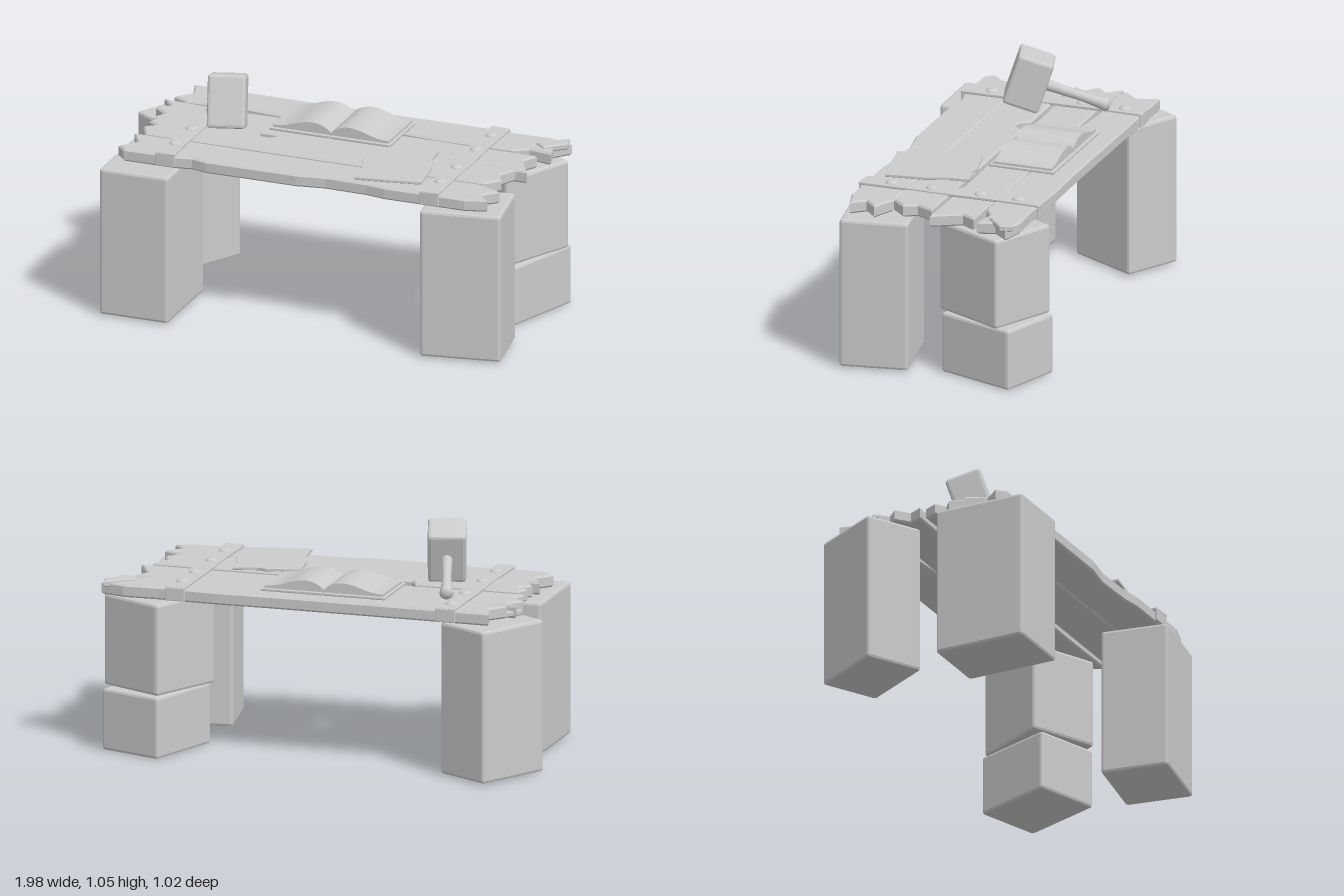
import * as THREE from 'three';
import { RoundedBoxGeometry } from 'three/addons/geometries/RoundedBoxGeometry.js';

const flat = new THREE.MeshStandardMaterial({ color: 0xcccccc, flatShading: true });
const smooth = new THREE.MeshStandardMaterial({ color: 0xcccccc });

function add(parent, name, geometry, material = flat) {
  const mesh = new THREE.Mesh(geometry, material);
  mesh.name = name;
  parent.add(mesh);
  return mesh;
}

// Box with chamfered edges
function block(parent, name, size, position, turn = 0, chamfer = 0.013) {
  const mesh = add(parent, name, new RoundedBoxGeometry(...size, 1, chamfer));
  mesh.position.set(...position);
  mesh.rotation.y = turn;
  return mesh;
}

// Flat slab cut from an outline of [x, z] points, with its top at y
function slab(parent, name, outline, top, thickness, bevel) {
  const shape = new THREE.Shape(outline.map(([x, z]) => new THREE.Vector2(x, z)));
  const geometry = new THREE.ExtrudeGeometry(shape, {
    depth: thickness - 2 * bevel, bevelEnabled: bevel > 0, bevelSize: bevel,
    bevelThickness: bevel, bevelOffset: -bevel, bevelSegments: 1,
  });
  geometry.rotateX(Math.PI / 2);
  const mesh = add(parent, name, geometry);
  mesh.position.y = top - bevel;
  return mesh;
}

// Stone blocks under the four corners
function buildLegs(parent) {
  block(parent, 'frontRightLeg', [0.325, 0.69, 0.43], [-0.73, 0.353, 0.295]);
  block(parent, 'backRightLeg', [0.28, 0.69, 0.365], [-0.788, 0.353, -0.291], -0.51);
  block(parent, 'frontLeftLeg', [0.365, 0.69, 0.31], [0.765, 0.353, 0.27], 0.165);
  block(parent, 'backLeftLowerBlock', [0.31, 0.28, 0.388], [0.775, 0.143, -0.28], -0.34);
  block(parent, 'backLeftUpperBlock', [0.33, 0.415, 0.37], [0.765, 0.494, -0.265], -0.46);
}

// Table planks with splintered ends and chipped edges
function buildPlanks(parent) {
  const planks = [
    [[-0.82, -0.435], [0.2, -0.43], [0.46, -0.435], [0.72, -0.425], [0.88, -0.43], [0.99, -0.4],
      [0.93, -0.33], [0.95, -0.25], [0.84, -0.27], [0.78, -0.23], [0.4, -0.225], [0.24, -0.24],
      [-0.3, -0.23], [-0.52, -0.25], [-0.78, -0.235], [-0.85, -0.27], [-0.79, -0.34]],
    [[-0.885, -0.24], [-0.6, -0.22], [-0.1, -0.225], [0.02, -0.205], [0.12, -0.225], [0.6, -0.22],
      [0.9, -0.215], [0.86, -0.15], [0.93, -0.02], [0.6, -0.025], [0, -0.02], [-0.4, -0.025],
      [-0.85, -0.02], [-0.82, -0.08], [-0.88, -0.13], [-0.83, -0.18]],
    [[-0.81, -0.01], [-0.34, -0.012], [-0.31, 0.035], [-0.27, 0.035], [-0.23, -0.01], [0.4, -0.012],
      [0.88, -0.01], [0.84, 0.07], [0.87, 0.13], [0.81, 0.195], [0.3, 0.198], [-0.3, 0.195],
      [-0.8, 0.195], [-0.84, 0.12], [-0.79, 0.08], [-0.84, 0.05]],
    [[-0.85, 0.2], [-0.3, 0.202], [0.4, 0.204], [0.8, 0.2], [0.91, 0.25], [0.85, 0.31],
      [0.9, 0.37], [0.8, 0.4], [0.42, 0.4], [0.33, 0.385], [0.13, 0.38], [0, 0.402],
      [-0.43, 0.402], [-0.5, 0.385], [-0.58, 0.4], [-0.82, 0.4], [-0.86, 0.36], [-0.8, 0.29]],
  ];
  const tops = [0.765, 0.759, 0.767, 0.761];
  planks.forEach((outline, i) => slab(parent, 'plank' + (i + 1), outline, tops[i], 0.057, 0.008));
  // Loose splinters at the back left corner
  slab(parent, 'splinter', [[0.85, -0.33], [0.97, -0.43], [0.985, -0.37], [0.9, -0.29]], 0.775, 0.03, 0.006);
  slab(parent, 'splinter', [[-0.9, -0.2], [-0.84, -0.28], [-0.78, -0.24], [-0.82, -0.2]], 0.735, 0.025, 0.005);
}

// Metal straps folded over the edges, with round rivets
function buildStraps(parent) {
  const straps = [[-0.62, [-0.35, -0.15, 0.09, 0.28]], [0.637, [-0.33, -0.15, 0.08, 0.27]]];
  for (const [x, rivets] of straps) {
    const strap = new THREE.Group();
    strap.name = 'strap';
    strap.position.x = x;
    parent.add(strap);
    const w = 0.045;
    slab(strap, 'strapTop', [[-w, -0.44], [w, -0.435], [w - 0.004, -0.2], [w, 0.05], [w - 0.003, 0.2],
      [w, 0.412], [-w, 0.408], [-w + 0.004, 0.15], [-w, -0.1]], 0.776, 0.014, 0.003);
    for (const z of [-0.436, 0.405]) block(strap, 'strapEnd', [2 * w, 0.06, 0.012], [0, 0.742, z], 0, 0.003);
    for (const z of rivets) {
      const dome = new THREE.SphereGeometry(0.03, 14, 5, 0, Math.PI * 2, 0, Math.PI / 2);
      const rivet = add(strap, 'rivet', dome, smooth);
      rivet.scale.y = 0.5;
      rivet.position.set(0, 0.774, z);
    }
  }
}

// Open book: two covers and two curved page stacks
function buildBook(parent) {
  const book = new THREE.Group();
  book.name = 'openBook';
  book.position.set(-0.02, 0.766, -0.198);
  parent.add(book);
  for (const side of [-1, 1]) {
    block(book, 'bookCover', [0.285, 0.012, 0.305], [side * 0.145, 0.006, 0], 0, 0.003);
    const page = new THREE.Shape();
    page.moveTo(0, 0.01);
    page.lineTo(side * 0.275, 0.01);
    page.lineTo(side * 0.275, 0.022);
    page.bezierCurveTo(side * 0.19, 0.022, side * 0.16, 0.058, side * 0.09, 0.059);
    page.bezierCurveTo(side * 0.05, 0.059, side * 0.02, 0.045, 0, 0.022);
    const geometry = new THREE.ExtrudeGeometry(page, { depth: 0.275, bevelEnabled: false, curveSegments: 8 });
    geometry.translate(0, 0, -0.1375);
    add(book, 'bookPages', geometry);
  }
}

// Mallet resting on its head and handle tip
function buildHammer(parent) {
  const hammer = new THREE.Group();
  hammer.name = 'hammer';
  hammer.position.set(-0.468, 0.915, 0.047);
  hammer.rotation.set(-0.32, 0.31, 0, 'YXZ');
  parent.add(hammer);
  block(hammer, 'hammerHead', [0.17, 0.24, 0.165], [0, 0, 0], 0, 0.014);
  const profile = [[0, 0.05], [0.027, 0.05], [0.023, 0.14], [0.021, 0.24], [0.026, 0.32], [0.031, 0.36], [0.022, 0.375], [0, 0.378]];
  const geometry = new THREE.LatheGeometry(profile.map(([r, y]) => new THREE.Vector2(r, y)), 14);
  geometry.rotateX(-Math.PI / 2);
  add(hammer, 'hammerHandle', geometry, smooth);
}

export function createModel() {
  const model = new THREE.Group();
  model.name = 'workTable';
  buildLegs(model);
  buildPlanks(model);
  buildStraps(model);
  buildBook(model);
  buildHammer(model);
  // Sheet of parchment lying on the planks
  slab(model, 'parchment', [[0.2, 0.012], [0.35, -0.025], [0.39, -0.015], [0.5, -0.045], [0.51, 0.05],
    [0.545, 0.15], [0.57, 0.33], [0.42, 0.36], [0.27, 0.385], [0.26, 0.27], [0.22, 0.16]], 0.785, 0.014, 0.002);
  return model;
}
